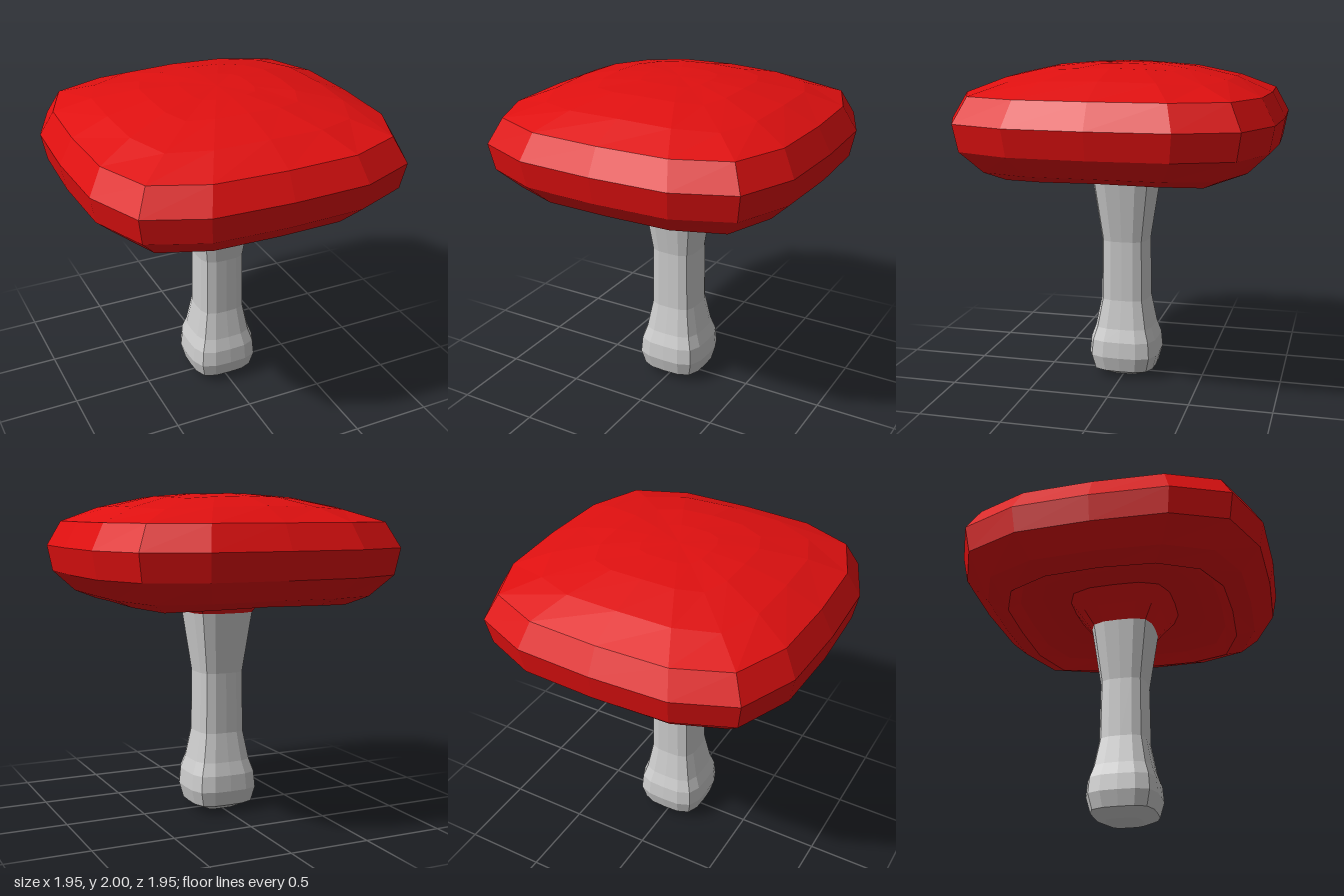
import * as THREE from 'three';

// One eighth-symmetric rounded square, as fractions of the half width
const QUADRANT = [[1, 0], [0.98, 0.48], [0.833, 0.833], [0.48, 0.98]];
const SECTION = [];
for (let q = 0; q < 4; q++) {
  for (const [a, b] of QUADRANT) {
    SECTION.push([[a, b], [-b, a], [-a, -b], [b, -a]][q]);
  }
}
// How far each point counts as a corner (0 at side middles, 1 at corners)
const CORNER = [0, 0.35, 1, 0.35];

// Skins rounded-square rings; each ring is [half width, height, corner drop]
function squareLoft(rings) {
  const n = SECTION.length;
  const positions = [];
  const index = [];
  for (const [r, y, drop = 0] of rings) {
    SECTION.forEach(([x, z], j) => positions.push(x * r, y - drop * CORNER[j % 4], z * r));
  }
  for (let i = 0; i < rings.length - 1; i++) {
    for (let j = 0; j < n; j++) {
      const k = (j + 1) % n;
      const a = i * n + j, b = i * n + k, c = a + n, d = b + n;
      if (rings[i][0] > 0) index.push(a, c, b);
      if (rings[i + 1][0] > 0) index.push(b, c, d);
    }
  }
  const geometry = new THREE.BufferGeometry();
  geometry.setAttribute('position', new THREE.Float32BufferAttribute(positions, 3));
  geometry.setIndex(index);
  geometry.computeVertexNormals();
  return geometry;
}

function addPart(group, name, color, rings) {
  const material = new THREE.MeshStandardMaterial({ color, flatShading: true, side: THREE.DoubleSide });
  const mesh = new THREE.Mesh(squareLoft(rings), material);
  mesh.name = name;
  group.add(mesh);
}

export function createModel() {
  const group = new THREE.Group();
  group.name = 'mushroom';

  // Stem with a bulbous foot and a narrow waist
  addPart(group, 'stem', 0xcccccc, [
    [0, 0.005], [0.11, 0.01], [0.197, 0.055], [0.222, 0.15], [0.213, 0.25],
    [0.185, 0.33], [0.15, 0.51], [0.145, 0.89], [0.2, 1.27],
  ]);

  // Cap: flared collar, hollow underside, rolled rim and shallow dome
  addPart(group, 'cap', 0xe01010, [
    [0.2, 1.27], [0.26, 1.355], [0.33, 1.45],
    [0.5, 1.45], [0.63, 1.41, 0.01], [0.7, 1.355, 0.02],
    [0.82, 1.4, 0.01], [0.947, 1.52], [0.977, 1.68], [0.895, 1.83],
    [0.68, 1.922, 0.02], [0.42, 1.98, 0.015], [0.2, 1.998, 0.005], [0, 2],
  ]);

  return group;
}
